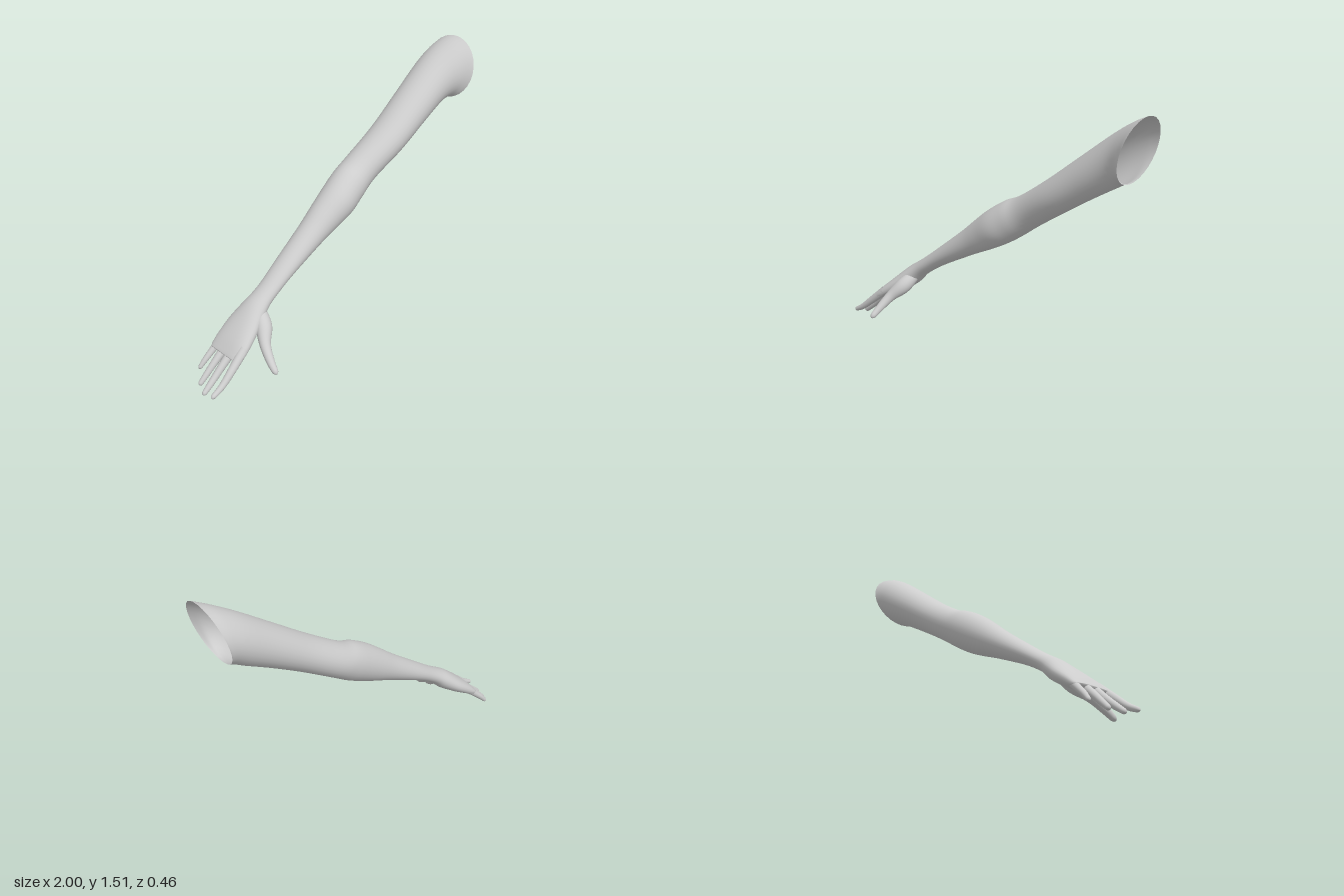
import * as THREE from 'three';

const V = (x, y, z) => new THREE.Vector3(x, y, z);
const SIDES = 28;

// Skin a list of rings { c, u, v, p }: centre, two half-axes, roundness exponent
function loft(rings, closeEnd) {
  const pos = [], idx = [];
  const pw = (a, p) => Math.sign(a) * Math.pow(Math.abs(a), p);
  for (const { c, u, v, p } of rings) {
    for (let j = 0; j < SIDES; j++) {
      const a = (j / SIDES) * Math.PI * 2;
      const q = c.clone().addScaledVector(u, pw(Math.cos(a), p)).addScaledVector(v, pw(Math.sin(a), p));
      pos.push(q.x, q.y, q.z);
    }
  }
  for (let i = 0; i < rings.length - 1; i++) {
    for (let j = 0; j < SIDES; j++) {
      const k = (j + 1) % SIDES;
      const a = i * SIDES + j, b = i * SIDES + k;
      idx.push(a, a + SIDES, b, b, a + SIDES, b + SIDES);
    }
  }
  if (closeEnd) {
    const last = rings.length - 1, n = pos.length / 3;
    pos.push(...rings[last].c.toArray());
    for (let j = 0; j < SIDES; j++) idx.push(last * SIDES + j, n, last * SIDES + ((j + 1) % SIDES));
  }
  const g = new THREE.BufferGeometry();
  g.setAttribute('position', new THREE.Float32BufferAttribute(pos, 3));
  g.setIndex(idx);
  g.computeVertexNormals();
  return g;
}

// Cross-sections from shoulder to knuckles: top x, top y, bottom x, bottom y, back z, front z
const SECTIONS = [
  [1.0, 1.51, 0.91, 1.16, -0.235, 0.115],
  [0.92, 1.475, 0.885, 1.155, -0.232, 0.07],
  [0.8, 1.4, 0.83, 1.125, -0.228, 0.038],
  [0.6, 1.25, 0.69, 1.045, -0.215, 0.032],
  [0.4, 1.1, 0.51, 0.935, -0.205, 0.028],
  [0.2, 0.97, 0.32, 0.815, -0.208, 0.003],
  [0.1, 0.925, 0.2, 0.73, -0.2, 0.015],
  [0.0, 0.86, 0.11, 0.675, -0.187, 0.027],
  [-0.1, 0.78, 0.0, 0.62, -0.172, 0.015],
  [-0.2, 0.695, -0.12, 0.565, -0.158, 0.005],
  [-0.4, 0.54, -0.33, 0.46, -0.14, 0],
  [-0.5, 0.465, -0.44, 0.395, -0.13, 0],
  [-0.56, 0.425, -0.51, 0.345, -0.132, 0.004],
  [-0.62, 0.385, -0.565, 0.29, -0.147, 0.02],
  [-0.7, 0.315, -0.645, 0.235, -0.166, 0.05],
  [-0.77, 0.25, -0.73, 0.185, -0.167, 0.072],
  [-0.815, 0.2, -0.785, 0.16, -0.162, 0.076],
  [-0.83, 0.18, -0.815, 0.162, -0.15, 0.065],
];

function armGeometry() {
  const curve = (f) => new THREE.CatmullRomCurve3(SECTIONS.map(f), false, 'catmullrom', 0.5);
  const top = curve((s) => V(s[0], s[1], 0));
  const bottom = curve((s) => V(s[2], s[3], 0));
  const depth = curve((s) => V(s[4], s[5], 0));
  const n = (SECTIONS.length - 1) * 5, rings = [];
  for (let i = 0; i <= n; i++) {
    const t = i / n;
    const a = top.getPoint(t), b = bottom.getPoint(t), d = depth.getPoint(t);
    const c = a.clone().add(b).multiplyScalar(0.5).setZ((d.x + d.y) / 2);
    const hand = THREE.MathUtils.smoothstep(t, 0.75, 0.95);
    rings.push({ c, u: a.sub(b).multiplyScalar(0.5), v: V(0, 0, (d.y - d.x) / 2), p: 1 - 0.25 * hand });
  }
  return loft(rings, true);
}

// Tapered, round-tipped finger along a path of [x, y, z, radius]
function fingerGeometry(path) {
  const curve = new THREE.CatmullRomCurve3(path.map((q) => V(q[0], q[1], q[2])), false, 'catmullrom', 0.5);
  const radius = new THREE.CatmullRomCurve3(path.map((q) => V(q[3], 0, 0)), false, 'catmullrom', 0.5);
  const n = 30, rings = [];
  for (let i = 0; i <= n; i++) {
    const t = 1 - Math.pow(1 - i / n, 1.5);
    const dir = curve.getTangent(t);
    const v = V(0, 0, 1).addScaledVector(dir, -dir.z).normalize();
    const u = dir.clone().cross(v);
    const s = Math.max(0, (t - 0.92) / 0.08);
    const r = radius.getPoint(t).x * Math.sqrt(Math.max(0.01, 1 - s * s));
    rings.push({ c: curve.getPoint(t), u: u.multiplyScalar(r), v: v.multiplyScalar(r), p: 1 });
  }
  return loft(rings, true);
}

const FINGERS = {
  indexFinger: [[-0.75, 0.22, 0.045, 0.027], [-0.86, 0.13, 0.06, 0.022], [-0.93, 0.075, 0.066, 0.018], [-1.0, 0.037, 0.067, 0.013]],
  middleFinger: [[-0.76, 0.212, -0.018, 0.027], [-0.87, 0.112, -0.02, 0.021], [-0.94, 0.052, -0.018, 0.018], [-0.995, 0.008, -0.016, 0.013]],
  ringFinger: [[-0.76, 0.21, -0.075, 0.027], [-0.86, 0.12, -0.08, 0.02], [-0.92, 0.062, -0.084, 0.017], [-0.965, 0.018, -0.087, 0.013]],
  littleFinger: [[-0.75, 0.22, -0.13, 0.026], [-0.82, 0.153, -0.142, 0.019], [-0.87, 0.105, -0.15, 0.016], [-0.91, 0.06, -0.157, 0.011]],
  thumb: [[-0.57, 0.345, -0.04, 0.035], [-0.6, 0.285, 0.03, 0.046], [-0.647, 0.222, 0.095, 0.031], [-0.672, 0.16, 0.165, 0.023], [-0.682, 0.112, 0.225, 0.016]],
};

export function createModel() {
  const group = new THREE.Group();
  group.name = 'arm';
  const skin = new THREE.MeshStandardMaterial({ color: 0xcccccc, side: THREE.DoubleSide });
  skin.name = 'light grey';
  const add = (name, geometry) => {
    const mesh = new THREE.Mesh(geometry, skin);
    mesh.name = name;
    group.add(mesh);
  };
  // Open sleeve from shoulder to palm
  add('armAndPalm', armGeometry());
  // Four fingers and the thumb
  for (const [name, path] of Object.entries(FINGERS)) add(name, fingerGeometry(path));
  return group;
}
